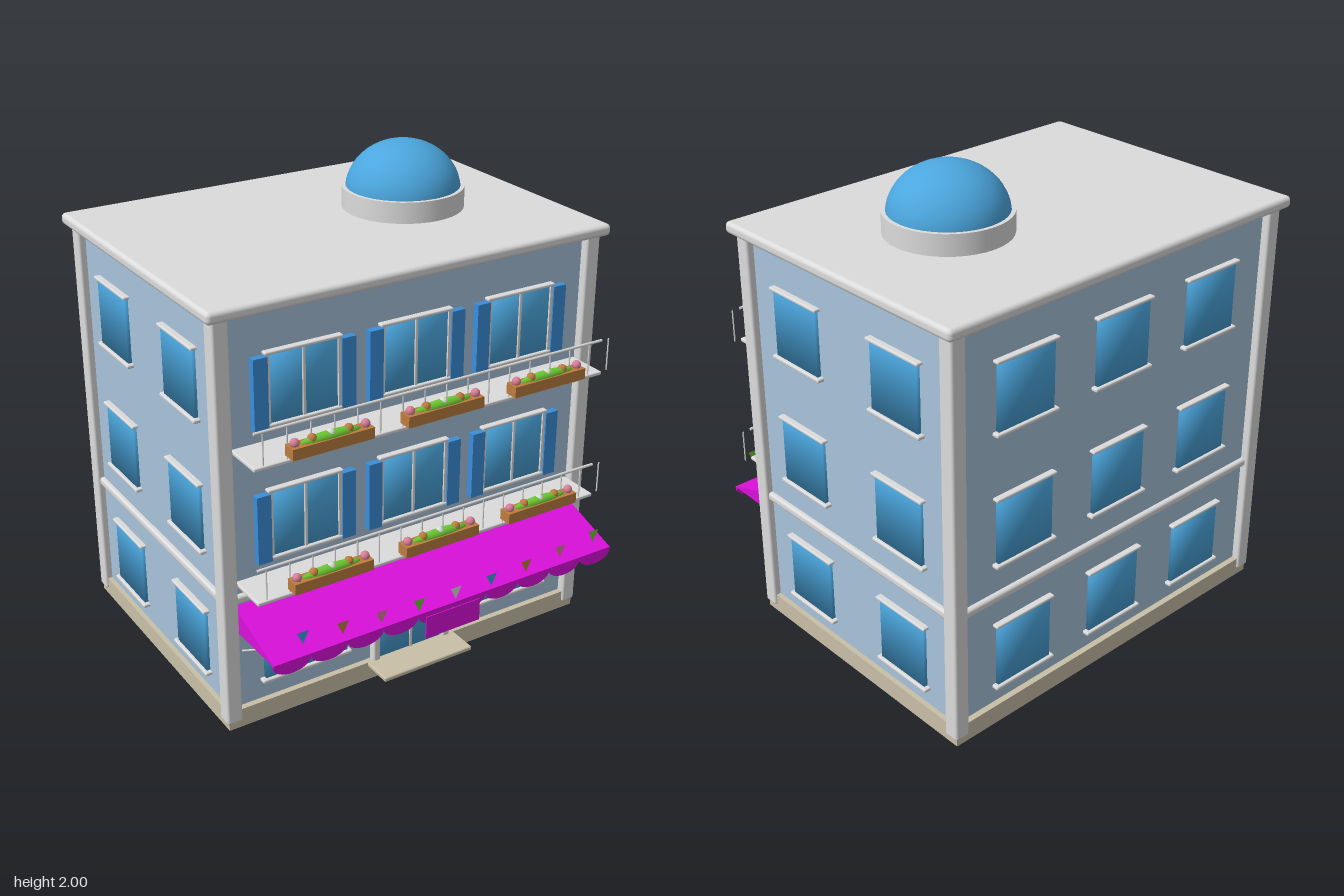
import * as THREE from 'three';
import { RoundedBoxGeometry } from 'three/addons/geometries/RoundedBoxGeometry.js';

const material = (name, color, side = THREE.FrontSide) => {
  const m = new THREE.MeshStandardMaterial({ color, side });
  m.name = name;
  return m;
};

export function createModel() {
  const model = new THREE.Group();
  model.name = 'townhouse';
  const wall = material('wallBlue', 0xa9c4dc);
  const glass = material('glassBlue', 0x4ba6de);
  const shutter = material('shutterBlue', 0x3a8fdb);
  const trim = material('trimWhite', 0xdcdcdc, THREE.DoubleSide);
  const stone = material('stone', 0xc9c0a8);
  const fabric = material('awningMagenta', 0xdc10dc, THREE.DoubleSide);
  const wood = material('wood', 0xbd7c3e, THREE.DoubleSide);
  const green = material('leafGreen', 0x6cc832, THREE.DoubleSide);
  const pink = material('flowerPink', 0xd97f97, THREE.DoubleSide);
  const blue = material('flagBlue', 0x3a9fe0, THREE.DoubleSide);

  const add = (parent, name, geo, mat, x = 0, y = 0, z = 0) => {
    const m = new THREE.Mesh(geo, mat);
    m.name = name;
    m.position.set(x, y, z);
    parent.add(m);
    return m;
  };
  const box = (parent, name, mat, w, h, d, x, y, z) =>
    add(parent, name, new THREE.BoxGeometry(w, h, d), mat, x, y, z);
  const rounded = (parent, name, mat, w, h, d, x, y, z, r = 0.012) =>
    add(parent, name, new RoundedBoxGeometry(w, h, d, 2, r), mat, x, y, z);
  const rod = (parent, name, mat, a, b, r) => {
    const p = new THREE.Vector3(...a), q = new THREE.Vector3(...b);
    const m = add(parent, name, new THREE.CylinderGeometry(r, r, p.distanceTo(q), 8), mat);
    m.position.copy(p).lerp(q, 0.5);
    m.quaternion.setFromUnitVectors(new THREE.Vector3(0, 1, 0), q.sub(p).normalize());
  };
  // Pane whose normals are softened towards its corners
  const pane = (parent, name, w, h, x, y) => {
    const m = box(parent, name, glass, w, h, 0.03, x, y, 0);
    const p = m.geometry.attributes.position, n = m.geometry.attributes.normal;
    const v = new THREE.Vector3();
    for (let i = 0; i < p.count; i++) {
      v.set(Math.sign(p.getX(i)), Math.sign(p.getY(i)), Math.sign(p.getZ(i))).normalize();
      n.setXYZ(i, v.x, v.y, v.z);
    }
  };

  // Main body
  const C = -0.127, HX = 0.815, HZ = 0.57;
  box(model, 'base', stone, 1.67, 0.08, 1.19, 0, 0.04, C);
  box(model, 'walls', wall, HX * 2, 1.64, HZ * 2, 0, 0.88, C);
  rounded(model, 'roofSlab', trim, 1.75, 0.048, 1.262, 0, 1.711, C, 0.018);
  for (const sx of [-1, 1]) for (const sz of [-1, 1])
    rounded(model, 'cornerPilaster', trim, 0.065, 1.67, 0.065, sx * 0.8125, 0.865, C + sz * 0.5705, 0.01);
  rounded(model, 'beltCourse', trim, HX * 2 + 0.04, 0.035, HZ * 2 + 0.04, 0, 0.562, C);

  // Roof dome on its ring
  add(model, 'domeRing', new THREE.CylinderGeometry(0.245, 0.245, 0.09, 40), trim, 0.325, 1.775, C);
  const dome = add(model, 'dome', new THREE.SphereGeometry(0.23, 40, 16, 0, Math.PI * 2, 0, Math.PI / 2),
    glass, 0.325, 1.8, C);
  dome.scale.y = 0.2 / 0.23;

  // One group per facade: local +z points outwards from the wall
  const facade = (name, x, z, turn) => {
    const g = new THREE.Group();
    g.name = name;
    g.position.set(x, 0, z);
    g.rotation.y = turn;
    model.add(g);
    return g;
  };
  const window_ = (parent, x, y, w, h = 0.28) => {
    const g = new THREE.Group();
    g.name = 'window';
    g.position.set(x, y, 0);
    parent.add(g);
    pane(g, 'glass', w, h, 0, 0);
    rounded(g, 'lintel', trim, w + 0.03, 0.013, 0.05, 0, h / 2, 0, 0.005);
    rounded(g, 'sill', trim, w + 0.035, 0.016, 0.055, 0, -h / 2, 0, 0.006);
    return g;
  };
  const rows = [0.295, 0.84, 1.382];
  const front = facade('frontFacade', 0, C + HZ, 0);
  const back = facade('backFacade', 0, C - HZ, Math.PI);
  const left = facade('leftFacade', HX, C, Math.PI / 2);
  const right = facade('rightFacade', -HX, C, -Math.PI / 2);
  for (const y of rows) {
    for (const x of [-0.485, 0, 0.485]) window_(back, x, y, 0.265);
    for (const side of [left, right]) for (const x of [-0.282, 0.282]) window_(side, x, y, 0.25);
  }

  // Shuttered front windows on the upper floors
  for (const y of rows.slice(1)) for (const x of [-0.48, 0, 0.48]) {
    const g = window_(front, x, y, 0.29);
    rounded(g, 'mullion', trim, 0.014, 0.28, 0.04, 0, 0, 0, 0.004);
    for (const s of [-1, 1]) {
      box(g, 'jamb', trim, 0.012, 0.28, 0.045, s * 0.146, 0, 0);
      box(g, 'shutter', shutter, 0.058, 0.28, 0.035, s * 0.181, -0.008, 0.012);
    }
  }

  // Shop windows, door and step
  for (const x of [-0.483, 0.483]) window_(front, x, 0.305, 0.365);
  pane(front, 'doorGlass', 0.29, 0.4, 0, 0.28);
  box(front, 'doorMullion', trim, 0.012, 0.4, 0.04, 0, 0.28, 0);
  for (const s of [-1, 1]) rounded(front, 'doorPost', trim, 0.032, 0.42, 0.06, s * 0.168, 0.28, 0, 0.008);
  rounded(model, 'doorStep', stone, 0.42, 0.02, 0.16, 0, 0.071, 0.515, 0.006);

  // Balconies with railings and flower boxes
  for (const y of [0.628, 1.172]) {
    const g = new THREE.Group();
    g.name = 'balcony';
    g.position.y = y;
    model.add(g);
    rounded(g, 'balconyFloor', trim, 1.55, 0.016, 0.175, 0, 0, 0.53, 0.005);
    rod(g, 'handrail', trim, [-0.77, 0.138, 0.61], [0.77, 0.138, 0.61], 0.006);
    for (let i = 0; i < 17; i++) {
      const x = -0.735 + i * 0.09625;
      rod(g, 'railingPost', trim, [x, 0.005, 0.61], [x, 0.138, 0.61], 0.003);
    }
    for (const x of [-0.48, 0, 0.48]) {
      const b = new THREE.Group();
      b.name = 'flowerBox';
      b.position.set(x, 0.047, 0.638);
      g.add(b);
      box(b, 'planter', wood, 0.335, 0.044, 0.056, 0, 0, 0);
      const leaves = add(b, 'leaves', new THREE.SphereGeometry(1, 20, 10), green, 0, 0.022, 0);
      leaves.scale.set(0.125, 0.022, 0.022);
      [[-0.145, pink], [-0.075, wood], [0, trim], [0.075, wood], [0.145, pink]].forEach(([fx, m]) =>
        add(b, 'flower', new THREE.SphereGeometry(0.018, 12, 8), m, fx, 0.032, 0));
    }
  }

  // Awning: sloping cloth, side panels, scalloped valance, hanging plate and struts
  const cloth = box(model, 'awningCloth', fabric, 1.57, 0.008, 0.305, 0, 0.484, 0.592);
  cloth.rotation.x = Math.atan2(0.097, 0.288);
  const panel = new THREE.Shape([[0.445, 0.532], [0.735, 0.435], [0.445, 0.425]].map(p => new THREE.Vector2(...p)));
  for (const s of [-1, 1])
    add(model, 'awningSide', new THREE.ShapeGeometry(panel), fabric, s * 0.782).rotation.y = -Math.PI / 2;
  const valance = new THREE.Shape();
  valance.moveTo(-0.785, 0.44);
  valance.lineTo(-0.785, 0.43);
  for (let i = 0; i < 10; i++)
    valance.absellipse(-0.7065 + i * 0.157, 0.43, 0.0785, 0.045, Math.PI, Math.PI * 2, false);
  valance.lineTo(0.785, 0.44);
  add(model, 'valance', new THREE.ExtrudeGeometry(valance, { depth: 0.008, bevelEnabled: false, curveSegments: 8 }),
    fabric, 0, 0, 0.73);
  box(model, 'hangingPlate', fabric, 0.25, 0.095, 0.004, 0, 0.373, 0.743);
  for (const s of [-1, 1])
    rod(model, 'awningStrut', trim, [s * 0.755, 0.325, 0.445], [s * 0.755, 0.43, 0.61], 0.004);

  // Pennants sagging in front of the awning
  const pennant = new THREE.Shape([[-0.025, 0], [0, -0.052], [0.025, 0]].map(p => new THREE.Vector2(...p)));
  const flagColours = [blue, wood, pink, green, trim];
  for (let i = 0; i < 9; i++) {
    const t = i / 4 - 1;
    add(model, 'pennant', new THREE.ShapeGeometry(pennant), flagColours[i % 5], t * 0.672, 0.52 + 0.04 * t * t, 0.757);
  }
  return model;
}
